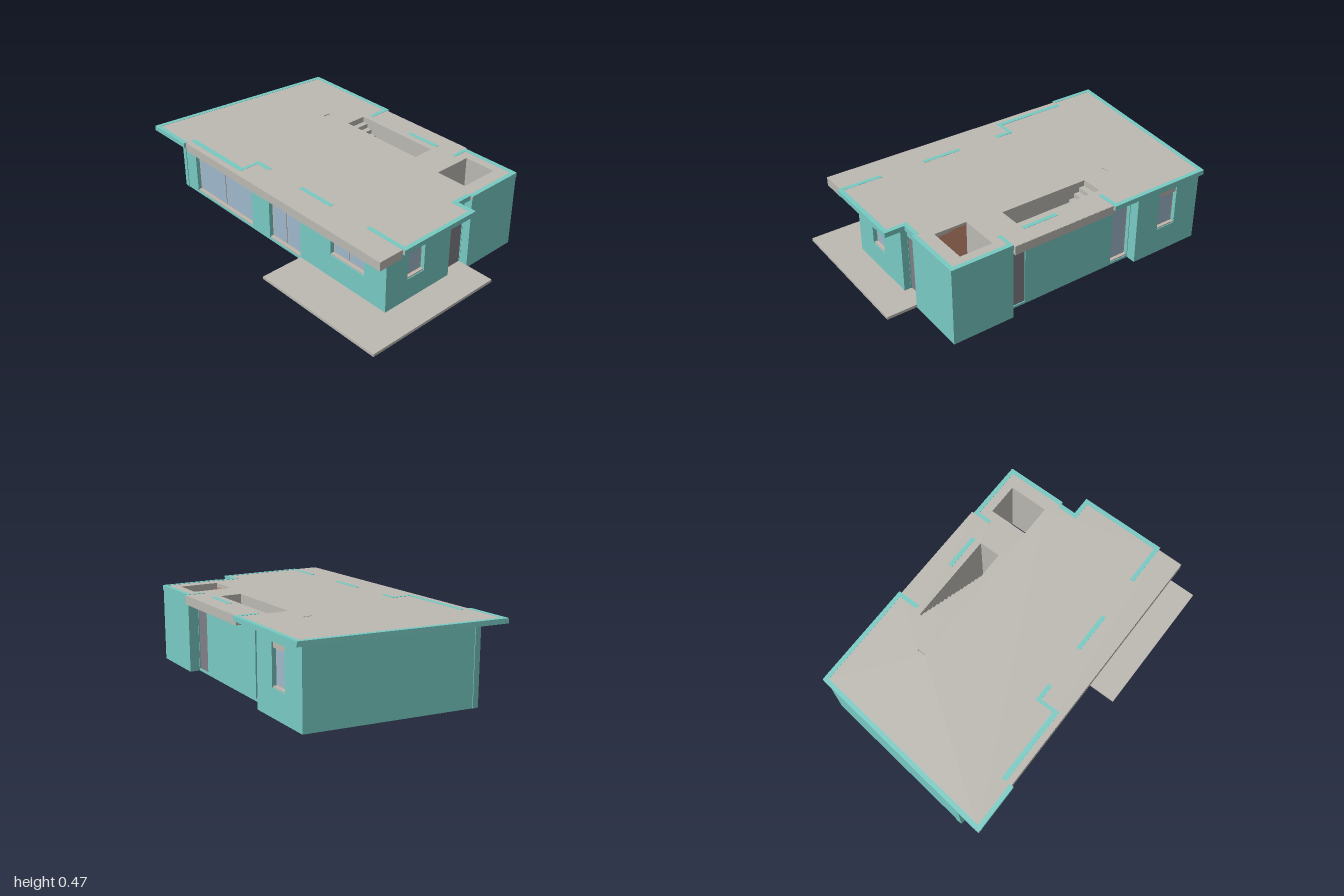
import * as THREE from 'three';

const paint = (name, color) => {
  const m = new THREE.MeshStandardMaterial({ color });
  m.name = name;
  return m;
};

export function createModel() {
  const house = new THREE.Group();
  house.name = 'house';
  const teal = paint('teal render', 0x78cac3);
  const grey = paint('concrete grey', 0xbcb9b2);
  const frameGrey = paint('frame grey', 0xbfb7af);
  const glass = paint('window blue', 0x9fb8cb);
  const dark = paint('door grey', 0x807e85);
  const brick = paint('terracotta', 0xc98d74);

  const add = (parent, name, geo, mat) => {
    const m = new THREE.Mesh(geo, mat);
    m.name = name;
    parent.add(m);
    return m;
  };
  // Box given by its lower and upper corners
  const box = (parent, name, mat, x0, y0, z0, x1, y1, z1) => {
    const m = add(parent, name, new THREE.BoxGeometry(x1 - x0, y1 - y0, z1 - z0), mat);
    m.position.set((x0 + x1) / 2, (y0 + y1) / 2, (z0 + z1) / 2);
    return m;
  };
  const path = (Type, pts) => new Type(pts.map(([x, z]) => new THREE.Vector2(x, z)));
  const rect = (x0, y0, x1, y1) => [[x0, y0], [x1, y0], [x1, y1], [x0, y1]];

  // Horizontal slab from a plan outline in x, z
  const flip = (pts) => pts.map(([x, z]) => [x, -z]);
  const slab = (name, mat, pts, holes, y0, y1) => {
    const s = path(THREE.Shape, flip(pts));
    s.holes = holes.map((h) => path(THREE.Path, flip(h)));
    const g = new THREE.ExtrudeGeometry(s, { depth: y1 - y0, bevelEnabled: false });
    g.rotateX(-Math.PI / 2).translate(0, y0, 0);
    return add(house, name, g, mat);
  };
  // Group running from a to b in plan, with local +z facing outwards
  const run = (name, [ax, az], [bx, bz]) => {
    const g = new THREE.Group();
    g.name = name;
    g.position.set(ax, 0, az);
    g.rotation.y = Math.atan2(az - bz, bx - ax);
    house.add(g);
    return [g, Math.hypot(bx - ax, bz - az)];
  };

  // Recessed window: frame, roller box on top, panes
  const window = (g, [u0, u1, y0, y1, panes]) => {
    box(g, 'windowFrame', frameGrey, u0, y0, -0.035, u1, y1, -0.025);
    box(g, 'rollerBox', frameGrey, u0, y1 - 0.032, -0.03, u1, y1, -0.008);
    box(g, 'windowSill', frameGrey, u0, y0, -0.03, u1, y0 + 0.008, -0.005);
    const m = 0.013, w = (u1 - u0 - m) / panes;
    for (let i = 0; i < panes; i++) {
      const p = u0 + m + i * w;
      box(g, 'windowPane', glass, p, y0 + 0.018, -0.026, p + w - m, y1 - 0.04, -0.021);
    }
  };
  // Wall with openings [u0, u1, y0, y1, panes]; no panes means a solid door
  const wall = (name, a, b, openings = []) => {
    const [g, len] = run(name, a, b);
    const s = path(THREE.Shape, rect(0, 0, len, 0.442));
    s.holes = openings.map(([u0, u1, y0, y1]) => path(THREE.Path, rect(u0, y0, u1, y1)));
    const geo = new THREE.ExtrudeGeometry(s, { depth: 0.035, bevelEnabled: false });
    add(g, name + 'Panel', geo.translate(0, 0, -0.035), teal);
    for (const o of openings) {
      if (o[4]) window(g, o);
      else box(g, 'doorLeaf', dark, o[0], o[2], -0.03, o[1], o[3], -0.006);
    }
  };

  // Outer walls, going round the plan
  const L = -0.974;
  wall('frontWall', [L, 0.38], [0.81, 0.38], [
    [-0.84 - L, -0.29 - L, 0.014, 0.4, 2],
    [-0.13 - L, 0.14 - L, 0.014, 0.4, 2],
    [0.39 - L, 0.65 - L, 0.165, 0.283, 2],
  ]);
  wall('rightWall', [0.81, 0.38], [0.81, -0.105], [[0.16, 0.285, 0.15, 0.4, 1]]);
  wall('porchReturn', [0.81, -0.105], [0.765, -0.105]);
  wall('entranceWall', [0.77, -0.105], [0.77, -0.25], [[0.002, 0.143, 0.018, 0.363, 0]]);
  wall('wingFrontWall', [0.735, -0.25], [0.82, -0.25]);
  wall('wingRightWall', [0.82, -0.25], [0.82, -0.62]);
  wall('wingBackWall', [0.82, -0.62], [0.45, -0.62]);
  wall('wingReturn', [0.45, -0.62], [0.45, -0.525]);
  wall('middleBackWall', [0.45, -0.56], [-0.4, -0.56], [
    [0.004, 0.12, 0.014, 0.38, 0],
    [0.72, 0.846, 0.014, 0.4, 1],
  ]);
  wall('backReturn', [-0.4, -0.525], [-0.4, -0.62]);
  wall('leftBackWall', [-0.4, -0.62], [-0.858, -0.62], [[0.16, 0.29, 0.16, 0.4, 1]]);
  wall('leftWall', [-0.858, -0.62], [L, 0.38]);

  // Floor and terrace with the light well and stair openings
  const well = rect(0.525, -0.545, 0.72, -0.305);
  const stairHole = rect(-0.24, -0.47, 0.32, -0.34);
  slab('floorAndTerrace', grey, [
    [-0.965, 0.37], [0.14, 0.37], [0.14, 0.65], [1, 0.65], [1, -0.25], [0.81, -0.25],
    [0.81, -0.61], [0.46, -0.61], [0.46, -0.55], [-0.41, -0.55], [-0.41, -0.61], [-0.85, -0.61],
  ], [well, stairHole], 0.001, 0.018);

  // Flat roof
  const slit = rect(-0.415, -0.345, -0.407, -0.295);
  slab('roof', grey, [
    [-1, 0.543], [-0.7, 0.543], [-0.7, 0.53], [0.91, 0.53], [0.91, 0.375], [0.923, 0.375],
    [0.923, -0.15], [0.805, -0.15], [0.805, -0.25], [0.82, -0.25], [0.82, -0.622], [0.45, -0.622],
    [0.45, -0.635], [-0.2, -0.635], [-0.2, -0.65], [-0.86, -0.65],
  ], [well, stairHole, slit], 0.44, 0.465);
  box(house, 'frontEaves', grey, -0.7, 0.412, 0.375, 0.91, 0.464, 0.5315);
  box(house, 'backEaves', grey, -0.2, 0.412, -0.637, 0.45, 0.464, -0.555);

  // Teal trim along the roof edges
  [
    [[-1, 0.543], [-0.7, 0.543]],
    [[0.923, 0.375], [0.923, -0.15]],
    [[0.923, -0.15], [0.79, -0.15]],
    [[0.805, -0.125], [0.805, -0.25]],
    [[0.82, -0.25], [0.82, -0.622]],
    [[0.82, -0.622], [0.45, -0.622]],
    [[-0.2, -0.65], [-0.86, -0.65]],
    [[-0.86, -0.65], [-1, 0.543]],
  ].forEach(([a, b]) => {
    const [g, len] = run('roofTrim', a, b);
    box(g, 'roofTrimBar', teal, 0, 0.438, -0.024, len, 0.4665, 0.002);
  });

  // Wall heads showing on the roof surface
  [
    [-0.7, 0.465, -0.225, 0.495], [-0.245, 0.375, -0.225, 0.465], [-0.245, 0.35, -0.13, 0.375],
    [0.135, 0.35, 0.38, 0.375], [0.655, 0.35, 0.9, 0.375], [0.1, -0.535, 0.32, -0.51],
    [-0.225, -0.626, -0.2, -0.51], [0.45, -0.6, 0.47, -0.51],
  ].forEach(([x0, z0, x1, z1]) => box(house, 'wallHead', teal, x0, 0.463, z0, x1, 0.4665, z1));

  // Linings of the light well and the stair opening
  const lining = (name, x0, z0, x1, z1, frontMat) => {
    const t = 0.01, y0 = 0.004, y1 = 0.45;
    box(house, name + 'Front', frontMat, x0, y0, z1, x1, y1, z1 + t);
    box(house, name + 'Back', grey, x0, y0, z0 - t, x1, y1, z0);
    box(house, name + 'Left', grey, x1, y0, z0 - t, x1 + t, y1, z1 + t);
    box(house, name + 'Right', grey, x0 - t, y0, z0 - t, x0, y1, z1 + t);
  };
  lining('lightWell', 0.525, -0.545, 0.72, -0.305, brick);
  lining('stairwell', -0.24, -0.47, 0.32, -0.34, grey);

  // Stairs, rising towards the right
  const steps = 16, run1 = 0.56 / steps, rise = 0.43 / steps;
  for (let i = 0; i < steps; i++) {
    const x = 0.32 - (i + 1) * run1;
    box(house, 'stairStep', grey, x, Math.max(0.002, (i - 0.5) * rise), -0.47, x + run1, (i + 1) * rise, -0.34);
  }

  // Partition feet showing under the floor
  [
    [-0.9, 0.345, 0.3, 0.353], [-0.38, -0.51, 0.45, -0.502], [-0.83, -0.58, -0.42, -0.572],
  ].forEach(([x0, z0, x1, z1]) => box(house, 'partitionFoot', brick, x0, 0, z0, x1, 0.003, z1));
  const [foot, len] = run('leftPartitionFoot', [-0.825, -0.58], [-0.935, 0.34]);
  box(foot, 'partitionFoot', brick, 0, 0, -0.004, len, 0.003, 0.004);

  return house;
}
